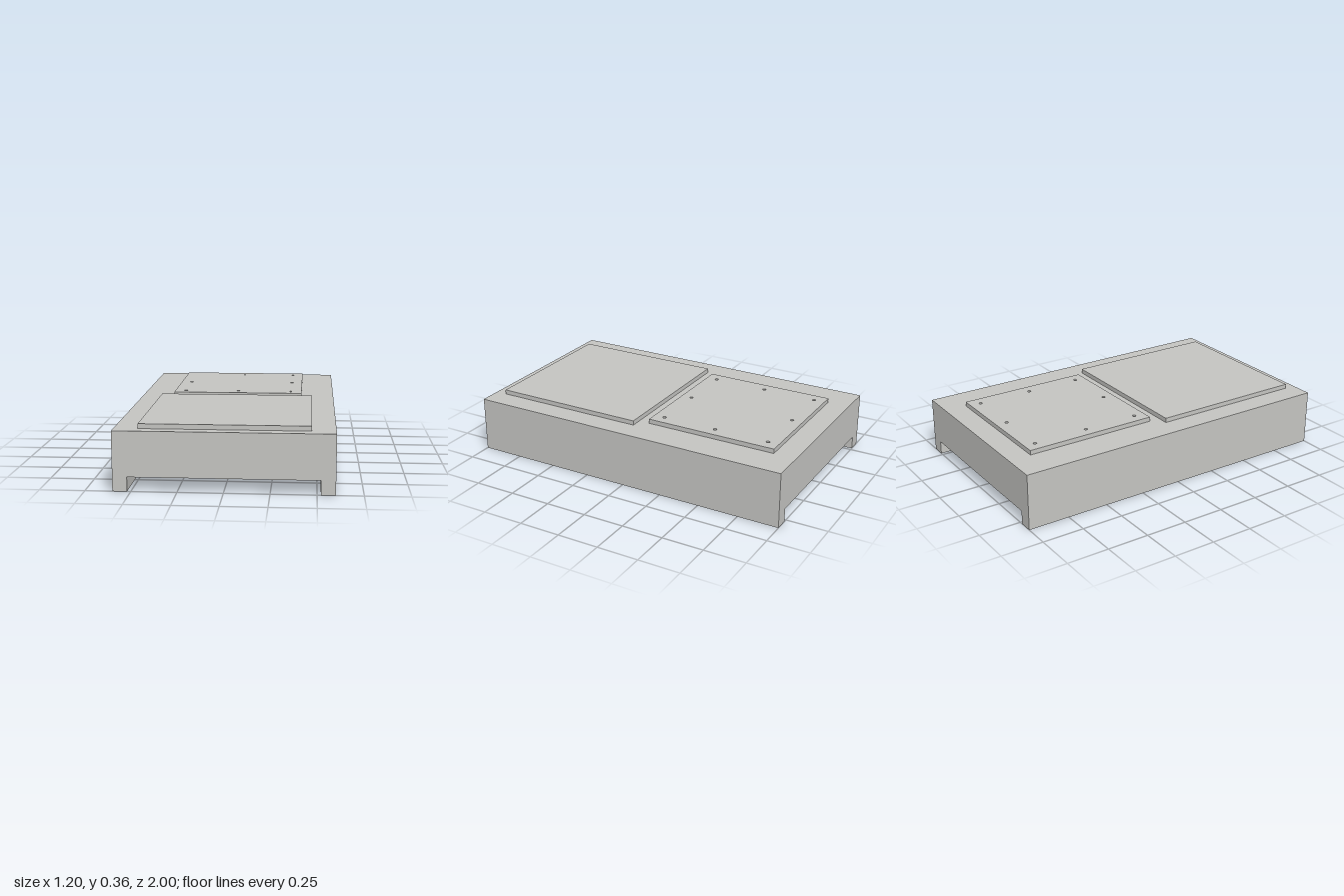
import * as THREE from 'three';

const DECK = 0.333, CHANNEL = 0.08, PLATE = 0.36, HOLE = 0.0105;

export function createModel() {
  const group = new THREE.Group();
  const lightGrey = new THREE.MeshStandardMaterial({ color: 0xc4c4c1, side: THREE.DoubleSide });
  lightGrey.name = 'lightGrey';

  const add = (name, geometry, y = 0) => {
    const mesh = new THREE.Mesh(geometry, lightGrey);
    mesh.name = name;
    mesh.position.y = y;
    group.add(mesh);
    return mesh;
  };

  // Screw holes around the edge of the rear plate
  const holes = [];
  for (const x of [-0.333, 0, 0.333])
    for (const z of [-0.8, -0.467, -0.133])
      if (x !== 0 || z !== -0.467) holes.push([x, z]);

  // Rectangle in plan, spanning +-halfWidth in x and z0..z1
  const plan = (halfWidth, z0, z1, drilled) => {
    const shape = new THREE.Shape([
      new THREE.Vector2(-halfWidth, -z1), new THREE.Vector2(halfWidth, -z1),
      new THREE.Vector2(halfWidth, -z0), new THREE.Vector2(-halfWidth, -z0),
    ]);
    if (drilled) {
      for (const [x, z] of holes)
        shape.holes.push(new THREE.Path().absarc(x, -z, HOLE, 0, Math.PI * 2, true));
    }
    return shape;
  };
  const flat = (shape) => new THREE.ShapeGeometry(shape, 10).rotateX(-Math.PI / 2);
  const slab = (shape) => new THREE.ExtrudeGeometry(shape, {
    depth: PLATE - DECK, bevelEnabled: false, curveSegments: 10,
  }).rotateX(-Math.PI / 2);

  // Body: channel profile run front to back, left open where the drilled faces go
  const profile = new THREE.Shape([
    [-0.6, 0], [-0.52, 0], [-0.52, CHANNEL], [0.52, CHANNEL],
    [0.52, 0], [0.6, 0], [0.6, DECK], [-0.6, DECK],
  ].map(([x, y]) => new THREE.Vector2(x, y)));
  const body = new THREE.ExtrudeGeometry(profile, { depth: 2, bevelEnabled: false }).translate(0, 0, -1);
  const source = body.attributes.position, kept = [];
  for (let i = 0; i < source.count; i += 3) {
    const ys = [0, 1, 2].map((k) => source.getY(i + k));
    const level = ys[0] > 0.01 && ys.every((y) => Math.abs(y - ys[0]) < 1e-5);
    if (!level) kept.push(...source.array.slice(i * 3, i * 3 + 9));
  }
  const shell = new THREE.BufferGeometry();
  shell.setAttribute('position', new THREE.Float32BufferAttribute(kept, 3));
  shell.computeVertexNormals();
  add('bodyWalls', shell);
  add('deckTop', flat(plan(0.6, -1, 1, true)), DECK);
  add('channelCeiling', flat(plan(0.52, -1, 1, true)), CHANNEL);

  // Bores running down through the body
  for (const [x, z] of holes) {
    const bore = new THREE.CylinderGeometry(HOLE, HOLE, DECK - CHANNEL, 20, 1, true);
    add('screwBore', bore.translate(x, 0, z), (DECK + CHANNEL) / 2);
  }

  // Raised plates
  add('frontPlate', slab(plan(0.467, 0, 0.933, false)), DECK);
  add('rearPlate', slab(plan(0.4, -0.867, -0.067, true)), DECK);

  return group;
}
